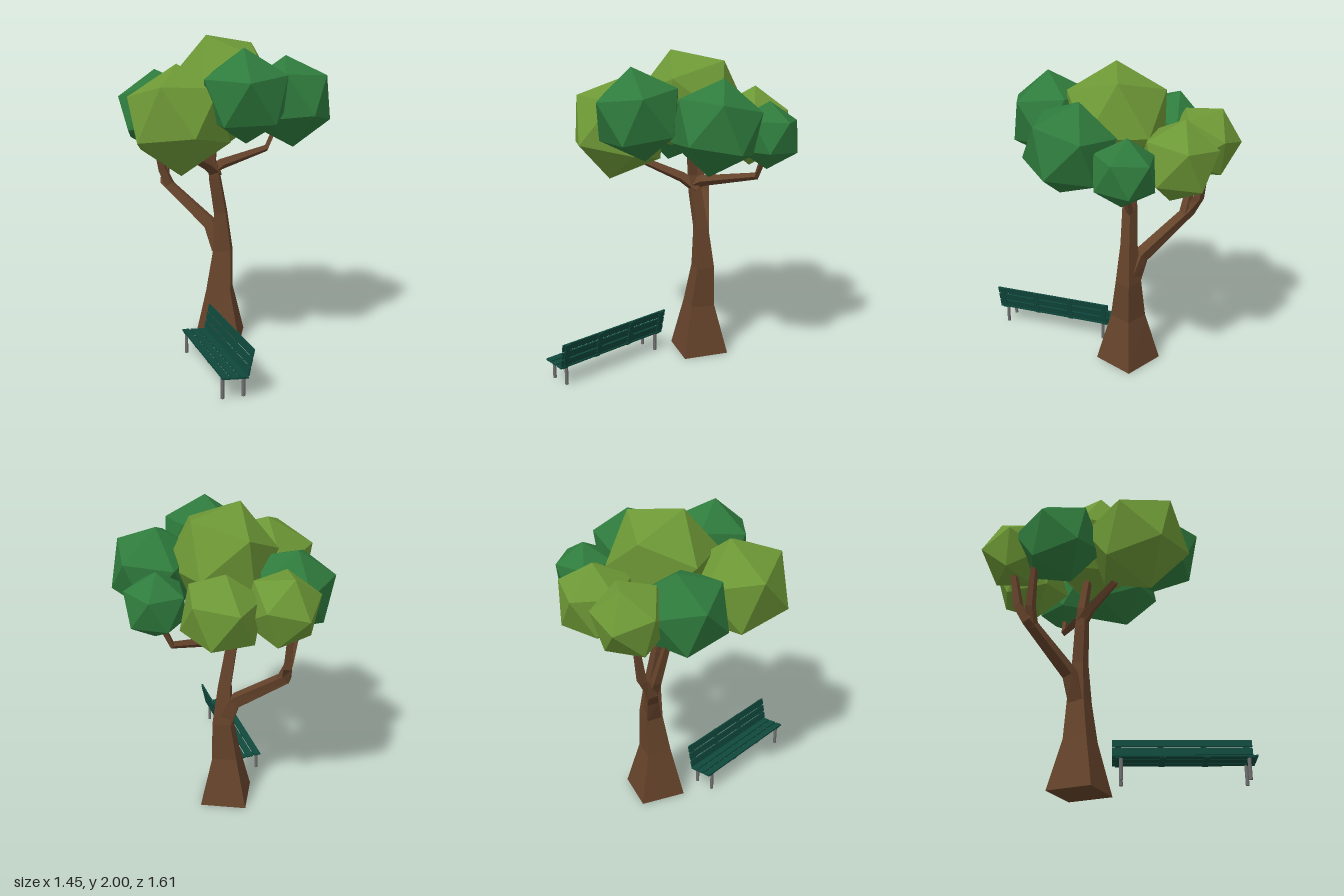
import * as THREE from 'three';

const V = (x, y, z) => new THREE.Vector3(x, y, z);
const mat = (color) => new THREE.MeshStandardMaterial({ color, flatShading: true });

// Four-sided tapering limb through rings of [x, y, z, radius]
function limbGeometry(rings) {
  const pts = rings.map(([x, y, z]) => V(x, y, z));
  const pos = [], idx = [], n = 4;
  pts.forEach((p, i) => {
    const t = pts[Math.min(i + 1, pts.length - 1)].clone().sub(pts[Math.max(i - 1, 0)]);
    if (i === 0) t.copy(pts[1]).sub(p);
    t.normalize();
    const u = t.clone().cross(V(0, 0, 1)).normalize();
    const v = u.clone().cross(t);
    for (let k = 0; k < n; k++) {
      const a = (k / n) * Math.PI * 2, r = rings[i][3];
      const q = p.clone().addScaledVector(u, r * Math.cos(a)).addScaledVector(v, r * Math.sin(a));
      pos.push(q.x, q.y, q.z);
    }
  });
  for (let i = 0; i < pts.length - 1; i++) {
    for (let k = 0; k < n; k++) {
      const a = i * n + k, b = i * n + (k + 1) % n;
      idx.push(a, a + n, b, b, a + n, b + n);
    }
  }
  const e = (pts.length - 1) * n;
  idx.push(0, 1, 2, 0, 2, 3, e, e + 2, e + 1, e, e + 3, e + 2);
  const g = new THREE.BufferGeometry();
  g.setAttribute('position', new THREE.Float32BufferAttribute(pos, 3));
  g.setIndex(idx);
  g.computeVertexNormals();
  return g;
}

// Orthonormal frame with its y axis on a and its x axis leaning towards b
function frame(a, b) {
  const y = a.clone().normalize();
  const x = b.clone().addScaledVector(y, -b.dot(y)).normalize();
  return new THREE.Matrix4().makeBasis(x, y, x.clone().cross(y));
}

// Icosahedron turned so one corner points along a and a neighbouring one towards b
function leafGeometry(radius, a, b) {
  const phi = (1 + Math.sqrt(5)) / 2;
  const from = frame(V(0, 1, phi), V(0, -1, phi)).invert();
  return new THREE.IcosahedronGeometry(radius, 0).applyMatrix4(frame(a, b).multiply(from));
}

function createTree() {
  const tree = new THREE.Group();
  tree.name = 'tree';
  const bark = mat(0x65432b), light = mat(0x6d9836), dark = mat(0x2f7b3d);

  // Trunk and branches
  const limbs = {
    trunk: [[0.055, 0, -0.11, 0.21], [0.055, 0.33, -0.108, 0.113], [0.082, 0.59, -0.108, 0.083],
      [0.065, 0.85, -0.11, 0.055], [0.02, 1.09, -0.115, 0.048], [0.01, 1.17, -0.115, 0.04]],
    leftBranch: [[0, 1.13, -0.115, 0.04], [0.07, 1.165, -0.115, 0.036], [0.45, 1.24, -0.1, 0.023],
      [0.5, 1.36, -0.08, 0.02], [0.52, 1.45, -0.07, 0.018]],
    rightBranch: [[0.04, 1.11, -0.115, 0.042], [-0.06, 1.18, -0.09, 0.036], [-0.28, 1.28, 0, 0.026],
      [-0.36, 1.38, 0.05, 0.02]],
    crownBranch: [[0.02, 1.08, -0.115, 0.045], [0, 1.2, -0.12, 0.036], [0, 1.45, -0.08, 0.028]],
    backBranch: [[0.07, 0.6, -0.12, 0.07], [0.04, 0.76, -0.19, 0.052], [-0.1, 1.02, -0.51, 0.04],
      [-0.06, 1.12, -0.56, 0.034], [-0.04, 1.4, -0.6, 0.022]],
    backFork: [[-0.08, 0.98, -0.47, 0.038], [-0.125, 1.1, -0.5, 0.034], [-0.2, 1.38, -0.5, 0.022]],
  };
  for (const [name, rings] of Object.entries(limbs)) {
    const m = new THREE.Mesh(limbGeometry(rings), bark);
    m.name = name;
    tree.add(m);
  }

  // Leaf clumps: centre, radius, top corner, neighbouring corner
  const around = (deg) => [Math.cos(deg * Math.PI / 180), 0.5, Math.sin(deg * Math.PI / 180)];
  const clumps = [
    ['crownLeaves', light, [0.03, 1.68, -0.03], 0.35, [-0.14, 0.32, 0], [0.23, 0.28, 0]],
    ['rightLeaves', light, [-0.415, 1.51, 0.1], 0.335, [0.035, 0.32, -0.07], [-0.215, 0.21, -0.22]],
    ['frontLeaves', dark, [-0.125, 1.65, 0.365], 0.287, [-0.03, 0.28, 0.025], around(54)],
    ['frontLeftLeaves', dark, [0.333, 1.59, 0.25], 0.29, [0.02, 0.28, -0.06], [0.265, 0.1, -0.07]],
    ['leftLeaves', dark, [0.535, 1.51, -0.065], 0.207, [0, 0.2, -0.015], around(26)],
    ['backLeftLeaves', light, [0.3, 1.5, -0.385], 0.257, [0, 0.25, -0.04], around(-10)],
    ['backLeaves', light, [0, 1.52, -0.565], 0.238, [0.01, 0.21, -0.11], [0, -0.02, -0.235]],
    ['backRightLeaves', dark, [-0.245, 1.51, -0.36], 0.28, [0.02, 0.27, -0.075], around(223)],
  ];
  for (const [name, material, centre, r, a, b] of clumps) {
    const m = new THREE.Mesh(leafGeometry(r, V(...a), V(...b)), material);
    m.name = name;
    m.position.set(...centre);
    tree.add(m);
  }
  return tree;
}

function createBench() {
  const bench = new THREE.Group();
  bench.name = 'bench';
  const paint = mat(0x10483c), metal = new THREE.MeshStandardMaterial({ color: 0x6e6e6e });
  const length = 0.83, pitch = 0.055;

  // Panel of three long slats joined by four cross straps, lying in its own xz plane
  const panel = (name) => {
    const g = new THREE.Group();
    g.name = name;
    const add = (part, w, h, d, x, y, z) => {
      const m = new THREE.Mesh(new THREE.BoxGeometry(w, h, d), paint);
      m.name = part;
      m.position.set(x, y, z);
      g.add(m);
    };
    for (let i = -1; i <= 1; i++) add('slat', 0.045, 0.01, length, i * pitch, 0, 0);
    for (let i = 0; i < 4; i++) add('strap', 0.15, 0.008, 0.035, 0, -0.007, (i / 3 - 0.5) * (length - 0.07));
    bench.add(g);
    return g;
  };
  const seat = panel('seat');
  seat.position.set(0.004, 0.131, 0);
  seat.rotation.z = -0.07;
  const back = panel('backrest');
  back.position.set(0.095, 0.213, 0);
  back.rotation.z = 1.36;

  // Legs
  for (const x of [-0.06, 0.066]) {
    for (const z of [-0.365, 0.365]) {
      const leg = new THREE.Mesh(new THREE.CylinderGeometry(0.011, 0.011, 0.125, 12), metal);
      leg.name = 'leg';
      leg.position.set(x, 0.0625, z);
      bench.add(leg);
    }
  }
  bench.position.set(-0.38, 0, 0.38);
  bench.rotation.y = -20 * Math.PI / 180;
  return bench;
}

export function createModel() {
  const model = new THREE.Group();
  model.name = 'treeWithBench';
  model.add(createTree(), createBench());
  return model;
}
